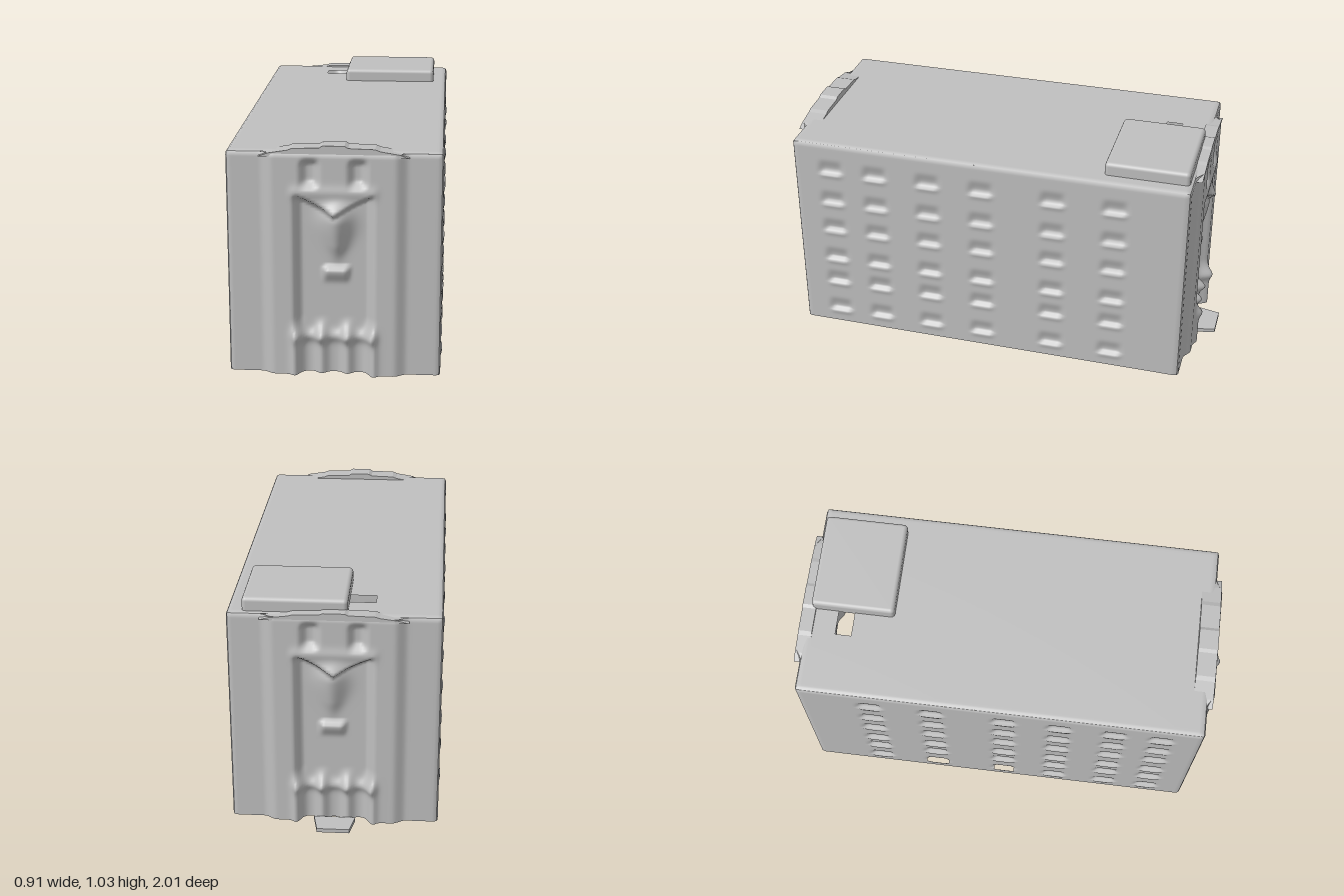
import * as THREE from 'three';
import { RoundedBoxGeometry } from 'three/addons/geometries/RoundedBoxGeometry.js';

const stone = new THREE.MeshStandardMaterial({ color: 0xbfbfbf, side: THREE.DoubleSide });
stone.name = 'grey stone';

// Shell extents and edge rounding
const HX = 0.45, TOP = 0.98, ZF = 0.94, ZB = -0.885, R = 0.02, TRIM = R * 0.293;
const { smoothstep } = THREE.MathUtils;
const v3 = (x, y, z) => new THREE.Vector3(x, y, z);
const band = (t, a, b, s) => smoothstep(t, a - s, a + s) * (1 - smoothstep(t, b - s, b + s));
const bump = (t, c, w) => Math.exp(-(((t - c) / w) ** 2));

// How far a surface falls back near a rounded edge at distance d
const edge = d => (d >= R ? 0 : R - Math.sqrt(R * R - (R - d) ** 2));

// Grid sheet pushed along its normal by depth(u, v); cells where hole(u, v) holds are left open
function panel(name, origin, U, V, [u0, u1, nu], [v0, v1, nv], depth, hole = () => false) {
  const N = v3().crossVectors(U, V);
  const pos = [], idx = [];
  const uAt = i => u0 + (u1 - u0) * i / nu, vAt = j => v0 + (v1 - v0) * j / nv;
  for (let j = 0; j <= nv; j++) {
    for (let i = 0; i <= nu; i++) {
      const u = uAt(i), v = vAt(j);
      const p = origin.clone().addScaledVector(U, u).addScaledVector(V, v).addScaledVector(N, depth(u, v));
      pos.push(p.x, p.y, p.z);
      if (i === nu || j === nv || hole(uAt(i + 0.5), vAt(j + 0.5))) continue;
      const a = j * (nu + 1) + i, b = a + nu + 1;
      idx.push(a, a + 1, b + 1, a, b + 1, b);
    }
  }
  const g = new THREE.BufferGeometry();
  g.setAttribute('position', new THREE.Float32BufferAttribute(pos, 3));
  g.setIndex(idx);
  g.computeVertexNormals();
  const m = new THREE.Mesh(g, stone);
  m.name = name;
  return m;
}

// Carved portal: raised bay, niche, lintel, hanging figure and door columns
function portal(x, y, figure) {
  const ax = Math.abs(x);
  let d = 0.028 * (1 - smoothstep(ax, 0.25, 0.31));
  const below = 1 - smoothstep(y, 0.70 + 0.48 * ax, 0.73 + 0.48 * ax);
  d -= 0.042 * (1 - smoothstep(ax, 0.135, 0.175)) * below;
  // lintel with two pockets
  d -= 0.03 * band(ax, 0.07, 0.13, 0.02) * band(y, 0.84, 0.94, 0.02);
  d += 0.008 * bump(y, 0.81, 0.025) * band(ax, -1, 0.18, 0.02);
  // figure tapering downward, with a ledge
  const w = 0.025 + 0.035 * smoothstep(y, 0.48, 0.68);
  d += figure * bump(x, 0.01, w) * band(y, 0.52, 0.74, 0.06) * smoothstep(y, 0.42, 0.74);
  d += 0.025 * band(x, -0.045, 0.06, 0.015) * smoothstep(y, 0.40, 0.465) * (1 - smoothstep(y, 0.468, 0.49));
  // four door columns with swollen caps
  for (const c of [-0.155, -0.055, 0.055, 0.155]) {
    d += bump(x, c, 0.024) * (0.026 * (1 - smoothstep(y, 0.17, 0.26)) + 0.014 * bump(y, 0.18, 0.03));
  }
  d += 0.016 * bump(y, 0.17, 0.025) * (1 - smoothstep(ax, 0.14, 0.18));
  return d;
}

// Small sloping window dents with a projecting sill
const columns = [0.76, 0.55, 0.30, 0.05, -0.28, -0.56];
const rows = [0.86, 0.70, 0.55, 0.39, 0.26, 0.10];
function windows(z, y) {
  let d = 0;
  for (const c of columns) {
    const across = band(z, c - 0.05, c + 0.05, 0.018);
    if (across === 0) continue;
    for (const r of rows) {
      d -= 0.014 * across * smoothstep(y, r - 0.035, r - 0.022) * (1 - smoothstep(y, r - 0.015, r + 0.045));
      d += 0.006 * across * bump(y, r - 0.04, 0.012);
    }
  }
  return d;
}

// Solid from an outline in x and y, running from z0 to z1
function slab(name, outline, z0, z1) {
  const s = new THREE.Shape(outline.map(p => new THREE.Vector2(...p)));
  const g = new THREE.ExtrudeGeometry(s, { depth: z1 - z0, bevelEnabled: false });
  g.translate(0, 0, z0);
  const m = new THREE.Mesh(g, stone);
  m.name = name;
  return m;
}

export function createModel() {
  const group = new THREE.Group();
  group.name = 'building';
  const X = v3(1, 0, 0), Y = v3(0, 1, 0), Z = v3(0, 0, 1);
  const xs = [-HX + TRIM, HX - TRIM, 96], ys = [0.005, TOP - TRIM, 96];
  const z0 = ZB + TRIM, z1 = ZF - TRIM;

  // End walls
  const round = (x, y) => Math.max(edge(HX - Math.abs(x)), edge(TOP - y));
  group.add(panel('frontWall', v3(0, 0, ZF), X, Y, xs, ys, (x, y) => portal(x, y, 0.068) - round(x, y)));
  group.add(panel('backWall', v3(0, 0, ZB), X.clone().negate(), Y, xs, ys,
    (u, y) => portal(-u, y, 0.05) - round(u, y)));

  // Long walls; the right one has two openings near the ground
  const sideDepth = (z, y) => windows(z, y) - Math.max(edge(ZF - z), edge(z - ZB), edge(TOP - y));
  const vent = (z, y) => y > 0.07 && y < 0.1 && (Math.abs(z + 0.28) < 0.05 || Math.abs(z - 0.05) < 0.045);
  group.add(panel('leftWall', v3(HX, 0, 0), Z.clone().negate(), Y, [-z1, -z0, 150], ys,
    (u, y) => sideDepth(-u, y)));
  group.add(panel('rightWall', v3(-HX, 0, 0), Z, Y, [z0, z1, 150], ys, sideDepth, vent));

  // Roof with a small square opening
  group.add(panel('roof', v3(0, TOP, 0), X, Z.clone().negate(), xs, [-z1, -z0, 150],
    (x, u) => -Math.max(edge(HX - Math.abs(x)), edge(ZF + u), edge(-u - ZB)),
    (x, u) => x > -0.17 && x < -0.05 && u > 0.67 && u < 0.75));

  // Roof house
  const house = new THREE.Mesh(new RoundedBoxGeometry(0.44, 0.08, 0.375, 3, 0.018), stone);
  house.name = 'roofHouse';
  house.position.set(0.165, 0.998, -0.68);
  group.add(house);

  // Stepped crests over both portals
  const half = [[0.31, 0.96], [0.27, 0.975], [0.19, 0.988], [0.17, 0.996], [0.06, 0.999], [0.045, 1.008]];
  const crest = k => [...half, ...half.map(([x, y]) => [-x, y]).reverse()]
    .map(([x, y]) => [x, 0.96 + (y - 0.96) * k]);
  group.add(slab('frontCrest', crest(1), 0.875, 0.963));
  group.add(slab('backCrest', crest(0.75), -0.912, -0.85));

  // Doorstep at the back
  const step = new THREE.Shape([[-0.09, 0.9], [0.09, 0.9], [0.07, 1], [-0.07, 1]].map(p => new THREE.Vector2(...p)));
  const stepGeo = new THREE.ExtrudeGeometry(step, { depth: 0.018, bevelEnabled: false });
  stepGeo.rotateX(-Math.PI / 2);
  const doorstep = new THREE.Mesh(stepGeo, stone);
  doorstep.name = 'doorstep';
  doorstep.position.y = 0.003;
  group.add(doorstep);

  return group;
}
